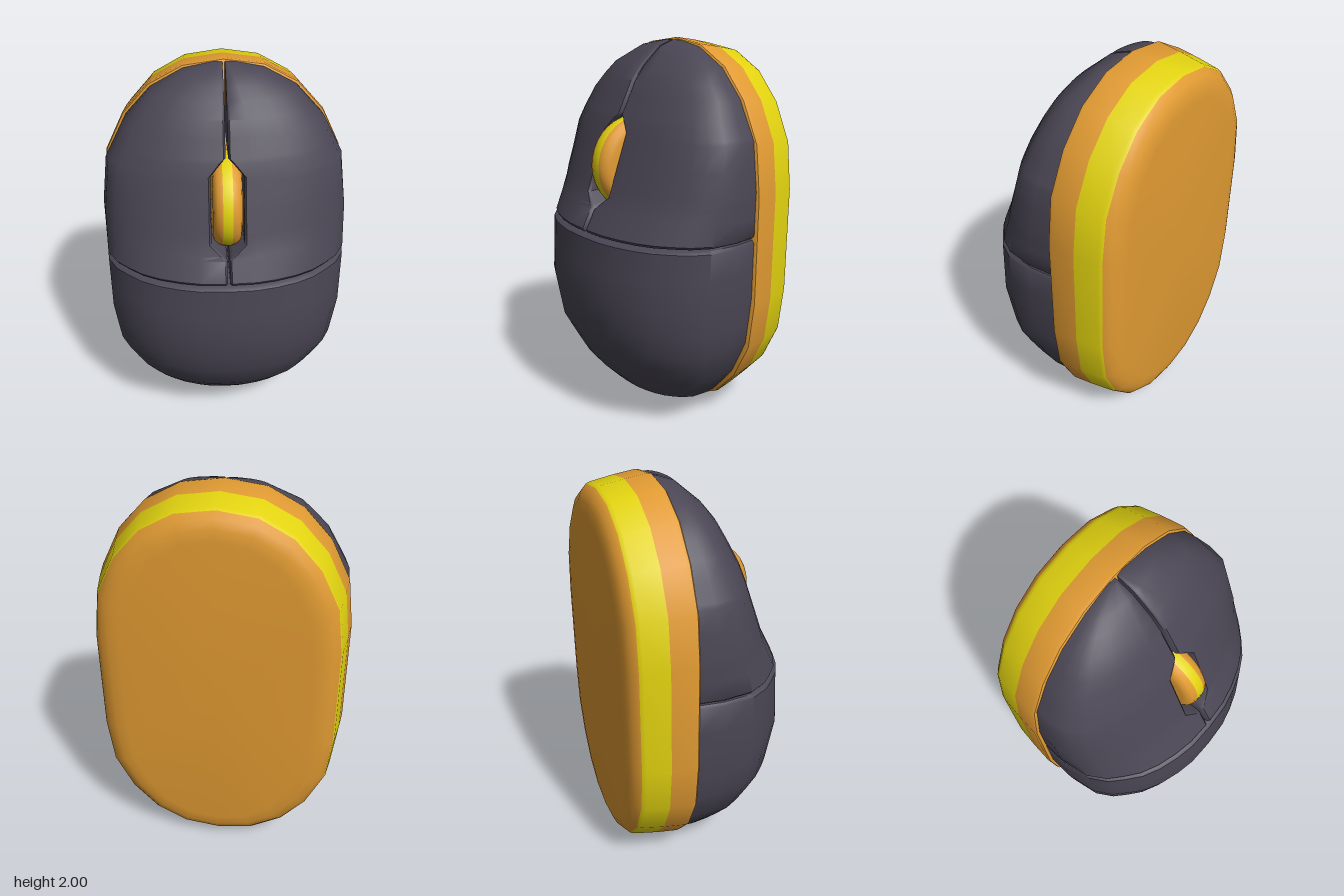
import * as THREE from 'three';
import { toCreasedNormals } from 'three/addons/utils/BufferGeometryUtils.js';

const material = (name, color) => {
  const m = new THREE.MeshStandardMaterial({ color });
  m.name = name;
  return m;
};

// Piecewise linear lookup: table rows are [key, value], keys ascending
function lookup(table, k) {
  if (k <= table[0][0]) return table[0][1];
  for (let i = 1; i < table.length; i++) {
    const [k0, v0] = table[i - 1], [k1, v1] = table[i];
    if (k <= k1) return v0 + (v1 - v0) * (k - k0) / (k1 - k0);
  }
  return table[table.length - 1][1];
}

// Skin closed rings (counterclockwise about the stacking direction), cap both ends.
// bands[i] is the material index of the strip between ring i and i + 1.
function loft(name, rings, materials, bands = []) {
  const n = rings[0].length, pos = rings.flat(2), index = [];
  const geo = new THREE.BufferGeometry();
  const close = (start, mat) => geo.addGroup(start, index.length - start, mat);
  for (let i = 0; i < rings.length - 1; i++) {
    const start = index.length;
    for (let j = 0; j < n; j++) {
      const a = i * n + j, b = i * n + (j + 1) % n;
      index.push(a, b, b + n, a, b + n, a + n);
    }
    close(start, bands[i] || 0);
  }
  for (const i of [0, rings.length - 1]) {
    const start = index.length, c = pos.length / 3;
    for (let k = 0; k < 3; k++) pos.push(rings[i].reduce((s, p) => s + p[k], 0) / n);
    for (let j = 0; j < n; j++) {
      const a = i * n + j, b = i * n + (j + 1) % n;
      if (i) index.push(c, a, b); else index.push(c, b, a);
    }
    close(start, 0);
  }
  geo.setAttribute('position', new THREE.Float32BufferAttribute(pos, 3));
  geo.setIndex(index);
  const mesh = new THREE.Mesh(toCreasedNormals(geo, 0.8), materials);
  mesh.name = name;
  return mesh;
}

// Shell: [y, half width] and [y, crown z] along the length
const WIDTH = [[0.02, 0.05], [0.05, 0.2], [0.14, 0.37], [0.29, 0.5], [0.49, 0.597], [0.74, 0.627],
  [1.3, 0.627], [1.54, 0.597], [1.73, 0.497], [1.87, 0.367], [1.96, 0.2], [1.988, 0.05]];
const CROWN = [[0.02, -0.12], [0.05, 0.0], [0.15, 0.2], [0.31, 0.33], [0.5, 0.43], [0.75, 0.475],
  [1.05, 0.455], [1.08, 0.44], [1.25, 0.35], [1.62, 0.215], [1.84, 0.1], [1.96, -0.04], [1.988, -0.12]];
// Half of the shell's cross-section: fraction of width, fraction of height
const ARCH = [[0.22, 0.99], [0.38, 0.955], [0.54, 0.9], [0.68, 0.825], [0.79, 0.73], [0.89, 0.63],
  [0.97, 0.48], [1, 0.23], [0.98, 0]];
// Half width of the centre gap, opening into the wheel slot
const SLOT = [[1.18, 0.006], [1.2, 0.025], [1.25, 0.08], [1.56, 0.08], [1.62, 0.028], [1.64, 0.006]];
const FLOOR = -0.15;

// Right-hand run of a section, from near the crown down to the floor
function arch(y, inset, minX) {
  const w = lookup(WIDTH, y) - inset, h = lookup(CROWN, y) - inset - FLOOR;
  return ARCH.map(([fx, fz]) => [Math.max(minX, w * fx), y, FLOOR + h * fz]);
}

function palmRest(mat) {
  const ys = [0.02, 0.05, 0.1, 0.14, 0.22, 0.3, 0.4, 0.5, 0.62, 0.75, 0.9, 1.047, 1.06];
  const rings = ys.map((y) => {
    const inset = y === 1.06 ? 0.012 : 0;
    const half = arch(y, inset, 0);
    const mirrored = half.map(([x, yy, z]) => [-x, yy, z]).reverse();
    return [[0, y, lookup(CROWN, y) - inset], ...half, ...mirrored];
  });
  return loft('palmRest', rings, [mat]);
}

function button(name, side, mat) {
  const ys = [1.07, 1.083, 1.18, 1.2, 1.25, 1.3, 1.42, 1.54, 1.56, 1.62, 1.64, 1.73, 1.8, 1.87, 1.92, 1.96, 1.988];
  const rings = ys.map((y) => {
    const inset = y === 1.07 ? 0.012 : 0;
    const g = lookup(SLOT, y), top = lookup(CROWN, y) - inset;
    const ring = [[g, y, top - 0.012], [g + 0.01, y, top], ...arch(y, inset, g + 0.012), [g, y, FLOOR]];
    return side > 0 ? ring : ring.map(([x, yy, z]) => [-x, yy, z]).reverse();
  });
  return loft(name, rings, [mat]);
}

function base(orange, yellow) {
  // Quarter outline about the centre, mirrored into a full oval
  const q = [[0.632, 0.28], [0.602, 0.53], [0.505, 0.73], [0.37, 0.88], [0.2, 0.972]];
  const right = [...q.map(([x, y]) => [x, -y]).reverse(), ...q];
  const oval = [[0, -1], ...right, [0, 1], ...right.map(([x, y]) => [-x, y]).reverse()];
  // [z, inset] from back to front
  const steps = [[-0.472, 0.17], [-0.466, 0.115], [-0.448, 0.075], [-0.42, 0.046], [-0.4, 0.038],
    [-0.28, 0.016], [-0.165, 0], [-0.148, 0.003], [-0.138, 0.018]];
  const rings = steps.map(([z, d]) =>
    oval.map(([x, y]) => [x * (1 - d / 0.632), 1 + y * (1 - d), z]));
  return loft('base', rings, [orange, yellow], [0, 0, 0, 1, 1, 0, 0, 0]);
}

function scrollWheel(orange, yellow) {
  // [x, radius] across the wheel
  const half = [[0.024, 0.24], [0.05, 0.23], [0.066, 0.21], [0.072, 0.185]];
  const steps = [...half.map(([x, r]) => [-x, r]).reverse(), ...half];
  const rings = steps.map(([x, r]) => Array.from({ length: 32 }, (_, j) => {
    const a = j / 32 * Math.PI * 2;
    return [x, 1.385 + r * Math.cos(a), 0.122 + r * Math.sin(a)];
  }));
  return loft('scrollWheel', rings, [orange, yellow], [0, 0, 0, 1, 0, 0, 0]);
}

export function createModel() {
  const dark = material('charcoal', 0x4a4654);
  const orange = material('orange', 0xe09a32);
  const yellow = material('yellow', 0xe2d310);
  const model = new THREE.Group();
  model.name = 'computerMouse';
  model.add(
    base(orange, yellow),
    palmRest(dark),
    button('leftButton', 1, dark),
    button('rightButton', -1, dark),
    scrollWheel(orange, yellow),
  );
  return model;
}
